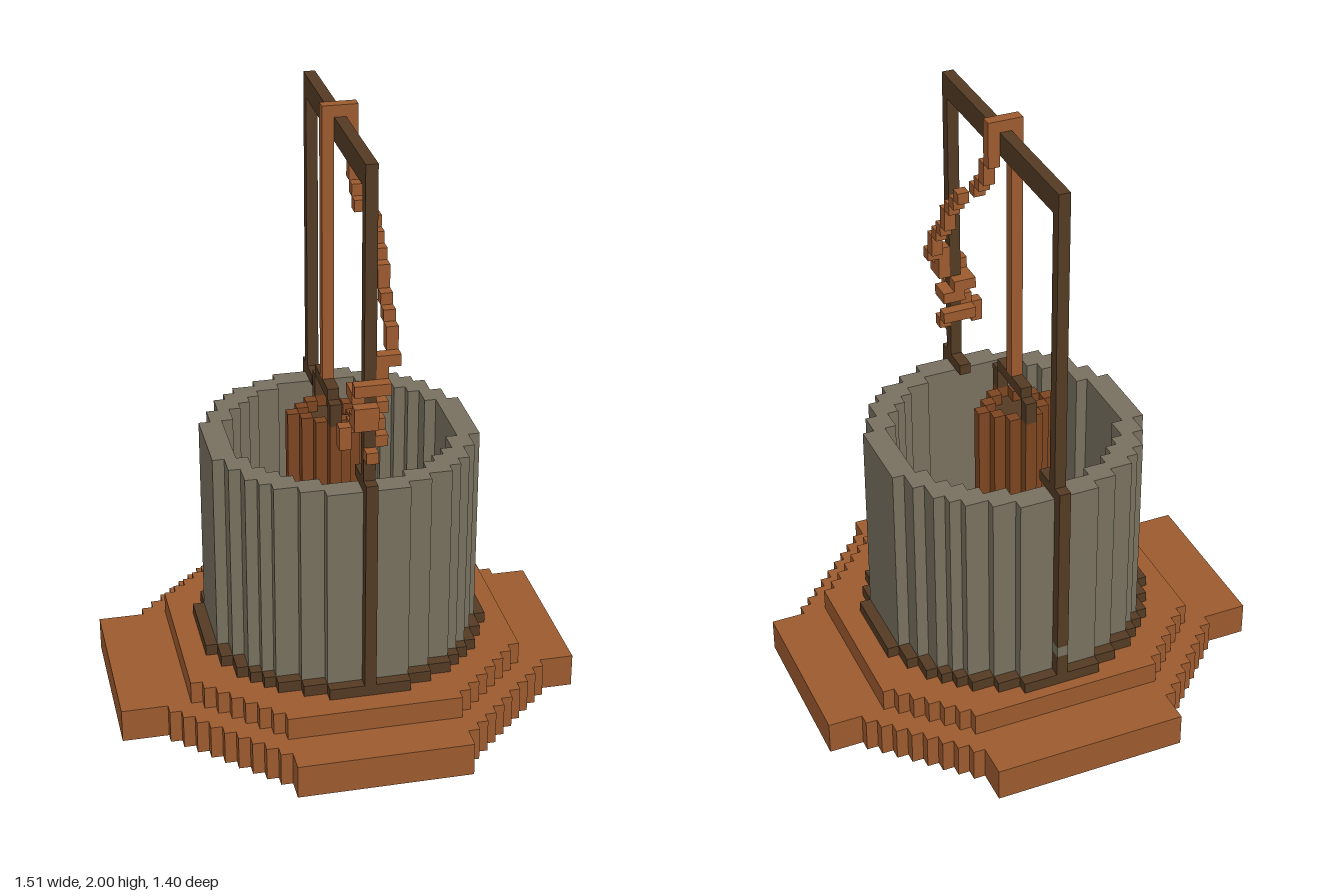
import * as THREE from 'three';

const V = 2 / 53; // one block
const mat = (name, color, side = THREE.DoubleSide) => {
  const m = new THREE.MeshStandardMaterial({ color, side });
  m.name = name;
  return m;
};

// Stepped outline from block rows: span(j) gives [left, right] for row j
function outline(j0, j1, span) {
  const right = [], left = [];
  for (let j = j0; j <= j1; j++) {
    const [l, r] = span(j);
    right.push([r, j - 0.5], [r, j + 0.5]);
    left.push([l, j - 0.5], [l, j + 0.5]);
  }
  const pts = [...right, ...left.reverse()].map(([x, z]) => new THREE.Vector2(x * V, z * V));
  // drop repeated and in-line points
  return pts.filter((p, i) => {
    const a = pts[(i + pts.length - 1) % pts.length], b = pts[(i + 1) % pts.length];
    return Math.abs((p.x - a.x) * (b.y - p.y) - (p.y - a.y) * (b.x - p.x)) > 1e-9;
  });
}

const disc = n => outline(-n, n, j => {
  const w = Math.floor(Math.sqrt((n + 0.5) ** 2 - j * j));
  return [-w, w + 1];
});

// Upright band that follows an outline
function band(pts, y0, y1) {
  const pos = [], b = y0 * V, t = y1 * V;
  pts.forEach((p, i) => {
    const q = pts[(i + 1) % pts.length];
    pos.push(q.x, b, q.y, p.x, b, p.y, p.x, t, p.y, q.x, b, q.y, p.x, t, p.y, q.x, t, q.y);
  });
  const g = new THREE.BufferGeometry();
  g.setAttribute('position', new THREE.Float32BufferAttribute(pos, 3));
  g.computeVertexNormals();
  return g;
}

// Flat stepped plate, with an optional opening
function plate(pts, y, hole) {
  const flip = a => a.map(p => new THREE.Vector2(p.x, -p.y));
  const s = new THREE.Shape(flip(pts));
  if (hole) s.holes.push(new THREE.Path(flip(hole)));
  return new THREE.ShapeGeometry(s).rotateX(-Math.PI / 2).translate(0, y * V, 0);
}

export function createModel() {
  const model = new THREE.Group();
  model.name = 'well';
  const clay = mat('clay brown', 0x9c5a2e);
  const stone = mat('stone grey', 0x78705f);
  const timber = mat('dark timber', 0x533a23);
  const wood = mat('bucket wood', 0x7c4520);

  const group = name => {
    const g = new THREE.Group();
    g.name = name;
    model.add(g);
    return g;
  };
  const add = (parent, name, geo, m) => {
    const mesh = new THREE.Mesh(geo, m);
    mesh.name = name;
    parent.add(mesh);
  };
  // Block run: x edges, y edges, first and last z row
  const block = (parent, name, m, x0, x1, y0, y1, j0, j1 = j0) => {
    const g = new THREE.BoxGeometry((x1 - x0) * V, (y1 - y0) * V, (j1 - j0 + 1) * V);
    g.translate((x0 + x1) / 2 * V, (y0 + y1) / 2 * V, (j0 + j1) / 2 * V);
    add(parent, name, g, m);
  };

  // Hollow stepped base, footing ring and round wall
  const lower = outline(-18, 18, j => {
    const a = Math.abs(j), e = j < 0 ? 8 : 7;
    return a <= 7 ? [-20, 20] : [-Math.max(24 - a, e), Math.max(25 - a, e + 1)];
  });
  const upper = outline(-13, 14, j => {
    const a = Math.abs(j);
    return [-Math.min(14, 21 - a), Math.min(15, 22 - a)];
  });
  const ring = disc(12), wall = disc(11), shaft = disc(9);
  const shells = [
    ['lowerStep', lower, 0, 3, upper, clay],
    ['upperStep', upper, 3, 5, ring, clay],
    ['footingRing', ring, 5, 6, wall, timber],
    ['stoneWall', wall, 6, 24, shaft, stone],
  ];
  for (const [name, pts, y0, y1, inner, m] of shells) {
    const g = group(name);
    add(g, name + 'Side', band(pts, y0, y1), m);
    add(g, name + 'Top', plate(pts, y1, inner), m);
  }
  add(model, 'shaftWall', band(shaft, 9, 24), stone);
  add(model, 'shaftFloor', plate(wall, 9), stone);

  // Timber frame: side straps, clamps, posts and beam
  const frame = group('frame');
  for (const s of [1, -1]) {
    block(frame, 'strap', timber, 0, 1, 6, s > 0 ? 24 : 8, 12 * s);
    if (s < 0) {
      block(frame, 'strapStone', stone, 0, 1, 8, 9, -12);
      block(frame, 'strap', timber, 0, 1, 9, 24, -12);
    }
    block(frame, 'clamp', timber, 0, 1, 24, 25, s > 0 ? 9 : -12, s > 0 ? 12 : -9);
    block(frame, 'post', timber, 0, 1, 25, 50, 11 * s);
  }
  block(frame, 'beam', timber, 0, 1, 50, 52, -11, 11);

  // Diamond bucket with sunken top and handle
  const bucket = group('bucket');
  const diamond = n => outline(-n, n, j => [-1 - (n - Math.abs(j)), n - Math.abs(j)]);
  const outer = diamond(3), inner = diamond(2);
  add(bucket, 'bucketSide', band(outer, 14, 26), wood);
  add(bucket, 'bucketBottom', plate(outer, 14), wood);
  add(bucket, 'bucketRim', plate(outer, 26, inner), wood);
  add(bucket, 'bucketInside', band(inner, 25, 26), wood);
  add(bucket, 'bucketFill', plate(inner, 25), timber);
  for (const j of [-3, 3]) block(bucket, 'handleSide', timber, -1, 0, 26, 28, j);
  block(bucket, 'handleTop', timber, -1, 0, 28, 29, -2, 2);

  // Rope: hanging length, loop over the beam, slanted run to the front post
  const rope = group('rope');
  block(rope, 'hangingRope', clay, -1, 0, 29, 52, 0);
  block(rope, 'ropeOverBeam', clay, -1, 2, 52, 53, 0);
  const drops = [52, 49, 47, 46, 45, 44, 43, 42, 40, 39, 38, 36];
  for (let j = 0; j < 11; j++) {
    const x = j < 4 ? 1 : 2;
    block(rope, 'slantedRope', clay, x, x + 1, drops[j + 1], drops[j], j);
  }
  block(rope, 'ropeEnd', clay, 2, 3, 35, 36, 11);
  block(rope, 'ropeEnd', clay, 1, 2, 33, 36, 11);

  // Windings round the front post: [x0, x1, y, z row]
  const windings = [
    [-1, 2, 33, 12], [-1, 0, 32, 11], [-1, 1, 32, 10], [0, 2, 31, 10], [1, 2, 31, 11],
    [-1, 1, 31, 12], [-1, 1, 30, 12], [-1, 0, 30, 11], [-2, -1, 29, 11], [-1, 2, 29, 10],
    [-2, -1, 28, 11], [1, 2, 28, 11], [0, 1, 27, 12],
  ];
  for (const [x0, x1, y, j] of windings) block(rope, 'winding', clay, x0, x1, y, y + 1, j);

  return model;
}
